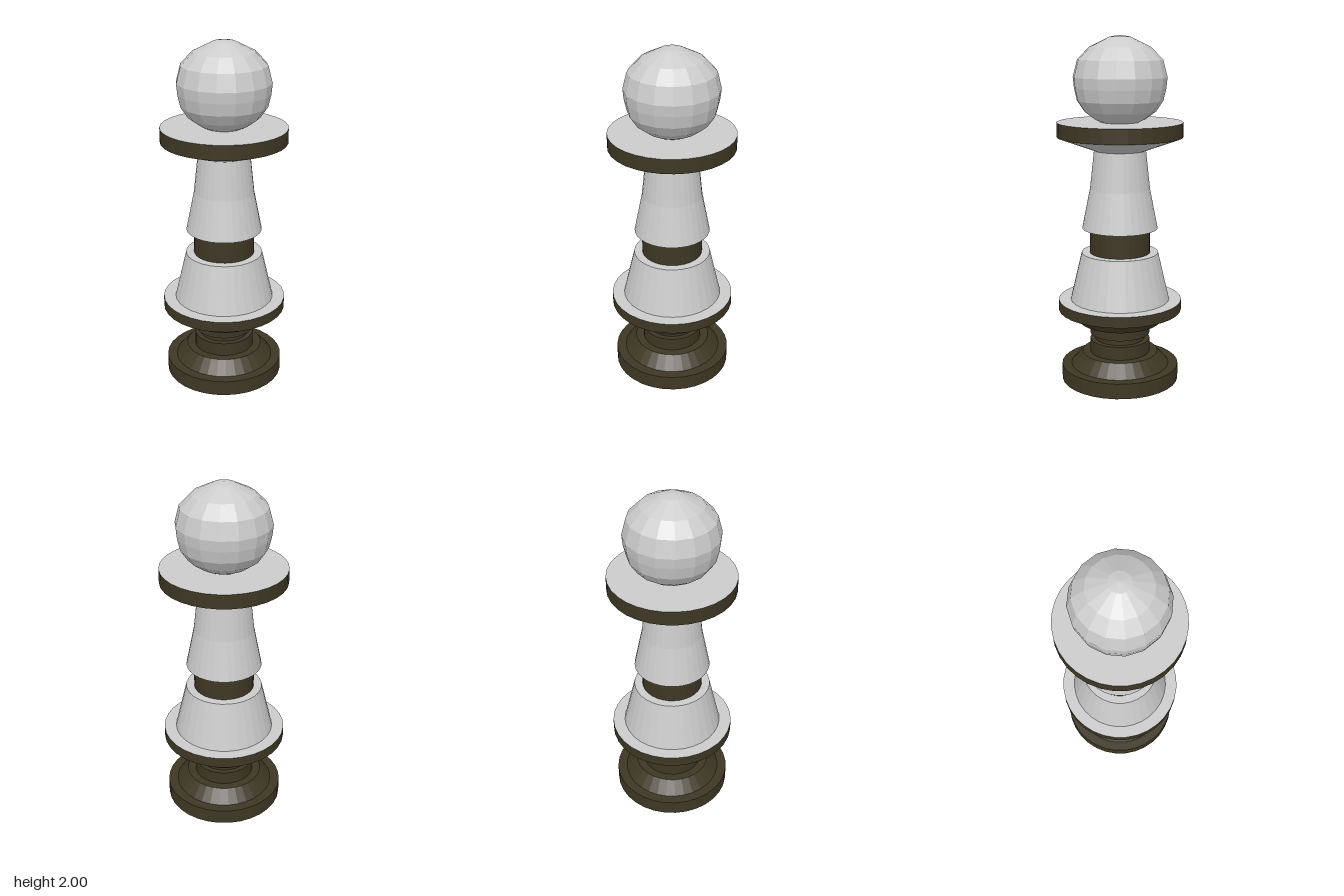
import * as THREE from 'three';

export function createModel() {
  const model = new THREE.Group();
  const grey = new THREE.MeshStandardMaterial({ color: 0xcccccc, flatShading: true });
  const dark = new THREE.MeshStandardMaterial({ color: 0x3e3724, flatShading: true });

  // Turned part; profile is [radius, height] pairs running from bottom to top
  function turned(name, material, profile, sides = 32) {
    const points = profile.map(([r, y]) => new THREE.Vector2(r, y));
    const mesh = new THREE.Mesh(new THREE.LatheGeometry(points, sides), material);
    mesh.name = name;
    model.add(mesh);
  }

  // Stepped foot, grooved stem and the collar above it
  turned('base', dark, [
    [0, 0], [0.343, 0], [0.343, 0.09], [0.288, 0.09], [0.222, 0.164], [0.175, 0.164],
  ]);
  turned('groovedStem', dark, [
    [0.175, 0.164], [0.175, 0.243], [0.145, 0.243], [0.145, 0.28], [0.175, 0.28], [0.175, 0.352],
  ]);
  turned('lowerCollar', dark, [
    [0.175, 0.352], [0.238, 0.352], [0.288, 0.425], [0.358, 0.425], [0.358, 0.487],
  ]);

  // Lower body: collar top, tapered drum and its ledge
  turned('lowerBody', grey, [
    [0.358, 0.487], [0.288, 0.487], [0.222, 0.767], [0.175, 0.767],
  ]);
  turned('neckBand', dark, [[0.175, 0.767], [0.175, 0.91]]);

  // Flared upper body spreading into the underside of the top collar
  turned('upperBody', grey, [
    [0.175, 0.91], [0.218, 0.91], [0.172, 1.14], [0.148, 1.36], [0.358, 1.437],
  ]);
  turned('upperCollarRim', dark, [[0.358, 1.437], [0.358, 1.52]]);
  turned('upperCollarTop', grey, [[0.358, 1.52], [0, 1.52]]);

  // Faceted ball head
  turned('head', grey, [
    [0.1, 1.515], [0.145, 1.537], [0.203, 1.58], [0.243, 1.64], [0.259, 1.71], [0.265, 1.77],
    [0.24, 1.865], [0.172, 1.935], [0.06, 1.99], [0, 2],
  ], 16);

  return model;
}
